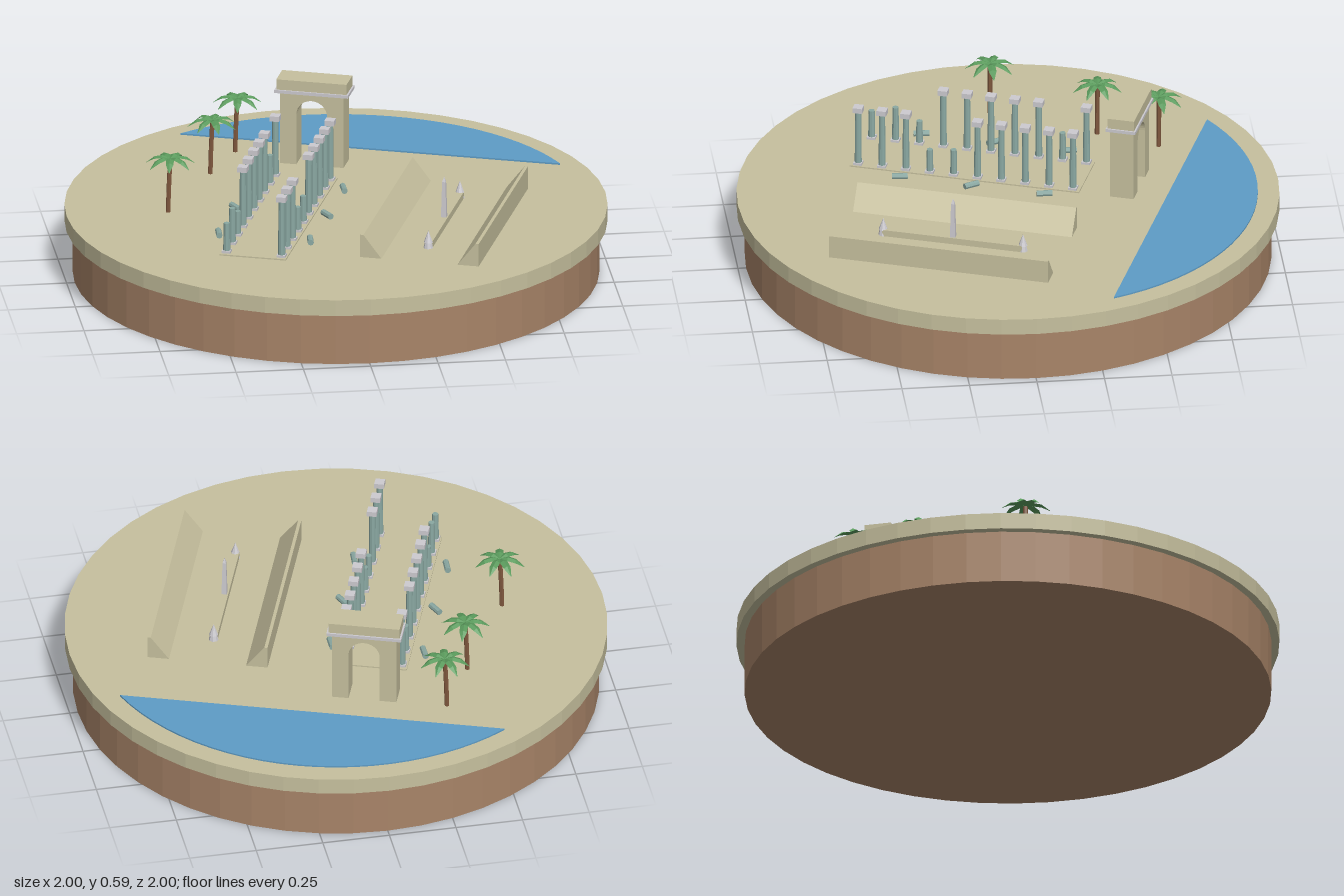
import * as THREE from 'three';

const mat = (name, color, extra = {}) => new THREE.MeshStandardMaterial({ name, color, flatShading: true, ...extra });
const sand = mat('sand', 0xc6c09e);
const earth = mat('earth', 0xa88468);
const water = mat('water', 0x5e9cc6);
const granite = mat('blue grey granite', 0x8aa8a2);
const marble = mat('pale marble', 0xcdcbd0);
const bark = mat('bark', 0x80583e);
const frond = mat('frond green', 0x5a9a5c, { side: THREE.DoubleSide });

const GROUND = 0.262;
const TILT = -Math.PI / 9; // shared orientation of the ruins

function add(parent, name, geometry, material, x = 0, y = 0, z = 0) {
  const mesh = new THREE.Mesh(geometry, material);
  mesh.name = name;
  mesh.position.set(x, y, z);
  parent.add(mesh);
  return mesh;
}

function addGroup(parent, name, x, z, rotation = TILT) {
  const group = new THREE.Group();
  group.name = name;
  group.position.set(x, GROUND, z);
  group.rotation.y = rotation;
  parent.add(group);
  return group;
}

const box = (w, h, d) => new THREE.BoxGeometry(w, h, d);

// Outline in x and y, extruded along z and centred
function prism(shape, depth) {
  return new THREE.ExtrudeGeometry(shape, { depth, bevelEnabled: false, curveSegments: 10 }).translate(0, 0, -depth / 2);
}

// Column with plinth and capital, or a broken stump
function addColumn(parent, x, z, height, whole) {
  const g = new THREE.Group();
  g.name = whole ? 'column' : 'brokenColumn';
  g.position.set(x, 0, z);
  parent.add(g);
  add(g, 'plinth', box(0.032, 0.014, 0.032), marble, 0, 0.007, 0);
  const shaft = height - 0.014 - (whole ? 0.02 : 0);
  add(g, 'shaft', new THREE.CylinderGeometry(0.0115, 0.0135, shaft, 10), granite, 0, 0.014 + shaft / 2, 0);
  if (whole) add(g, 'capital', box(0.036, 0.02, 0.036), marble, 0, height - 0.01, 0);
}

// Drooping leaf with a raised midrib, built from cross-sections
function frondGeometry() {
  const sections = [[0, 0, 0.005], [0.03, 0.01, 0.015], [0.06, 0.003, 0.014], [0.092, -0.024, 0.001]];
  const points = [], faces = [];
  for (const [r, y, w] of sections) points.push(r, y - w * 0.45, -w, r, y, 0, r, y - w * 0.45, w);
  for (let i = 0; i < sections.length - 1; i++) {
    for (let j = 0; j < 2; j++) {
      const a = i * 3 + j, b = a + 3;
      faces.push(a, a + 1, b, a + 1, b + 1, b);
    }
  }
  const geometry = new THREE.BufferGeometry();
  geometry.setAttribute('position', new THREE.Float32BufferAttribute(points, 3));
  geometry.setIndex(faces);
  geometry.computeVertexNormals();
  return geometry;
}

function addPalm(parent, x, z, turn) {
  const palm = addGroup(parent, 'palmTree', x, z, 0);
  const path = new THREE.QuadraticBezierCurve3(
    new THREE.Vector3(-0.008, 0, 0), new THREE.Vector3(-0.006, 0.11, 0), new THREE.Vector3(0, 0.205, 0));
  add(palm, 'trunk', new THREE.TubeGeometry(path, 5, 0.009, 6), bark);
  const crown = new THREE.Group();
  crown.name = 'crown';
  crown.position.y = 0.21;
  palm.add(crown);
  const leaf = frondGeometry();
  for (let i = 0; i < 7; i++) add(crown, 'frond', leaf, frond).rotation.y = turn + (i * Math.PI * 2) / 7;
}

export function createModel() {
  const model = new THREE.Group();
  model.name = 'ruinedCity';

  // Round base
  add(model, 'earthBase', new THREE.CylinderGeometry(0.97, 0.97, 0.2, 48), earth, 0, 0.1, 0);
  add(model, 'groundDisc', new THREE.CylinderGeometry(1, 1, GROUND - 0.2, 48), sand, 0, (GROUND + 0.2) / 2, 0);

  // Sea: circular segment behind a straight shore
  const half = Math.acos(0.578 / 0.92), middle = Math.PI / 2 + TILT;
  const sea = new THREE.Shape();
  for (let i = 0; i <= 24; i++) {
    const a = middle - half + (2 * half * i) / 24;
    const x = 0.92 * Math.cos(a), y = 0.92 * Math.sin(a);
    if (i) sea.lineTo(x, y); else sea.moveTo(x, y);
  }
  const seaGeometry = new THREE.ExtrudeGeometry(sea, { depth: 0.006, bevelEnabled: false }).rotateX(-Math.PI / 2);
  add(model, 'sea', seaGeometry, water, 0, GROUND, 0);

  // Colonnaded street
  const street = addGroup(model, 'colonnade', -0.2275, 0.1075);
  add(street, 'paving', box(0.25, 0.005, 0.87), sand, 0, 0.0025, 0);
  const broken = [{ 1: 0.12, 7: 0.1, 8: 0.145, 9: 0.12 }, { 5: 0.11, 6: 0.1 }];
  broken.forEach((stumps, row) => {
    for (let i = 0; i < 10; i++) {
      addColumn(street, row ? 0.1035 : -0.1035, (i - 4.5) * 0.0905, stumps[i] ?? 0.243, !(i in stumps));
    }
  });

  // Fallen column drums
  const drum = new THREE.CylinderGeometry(0.0115, 0.0115, 0.058, 8).rotateX(Math.PI / 2);
  const drums = [[-0.28, -0.255, 0], [-0.375, 0.01, 0.4], [-0.47, 0.27, -0.05],
    [0.045, -0.13, 0], [-0.05, 0.13, 0.4], [-0.145, 0.385, -0.08]];
  for (const [x, z, turn] of drums) {
    add(model, 'fallenDrum', drum, granite, x, GROUND + 0.011, z).rotation.y = turn;
  }

  // Triumphal arch
  const arch = addGroup(model, 'triumphalArch', -0.022, -0.452);
  const outline = new THREE.Shape();
  outline.moveTo(-0.12, 0);
  outline.lineTo(-0.058, 0);
  outline.lineTo(-0.058, 0.195);
  outline.absarc(0, 0.195, 0.058, Math.PI, 0, true);
  outline.lineTo(0.058, 0);
  outline.lineTo(0.12, 0);
  outline.lineTo(0.12, 0.28);
  outline.lineTo(-0.12, 0.28);
  add(arch, 'archBody', prism(outline, 0.09), sand);
  add(arch, 'cornice', box(0.278, 0.012, 0.112), marble, 0, 0.284, 0);
  add(arch, 'attic', box(0.265, 0.04, 0.1), sand, 0, 0.31, 0);

  // Racecourse: two seating banks facing a central spine
  const course = addGroup(model, 'racecourse', 0.37, 0.243);
  for (const side of [-1, 1]) {
    const bank = new THREE.Shape([[0.04, 0], [0.04, 0.088], [0.028, 0.088], [-0.04, 0]]
      .map(([x, y]) => new THREE.Vector2(side * (0.1835 + x), y)));
    add(course, 'seatingBank', prism(bank, 0.83), sand);
    add(course, 'turningPost', new THREE.CylinderGeometry(0.013, 0.018, 0.022, 8), marble, 0, 0.011, side * 0.265);
    add(course, 'turningPostTip', new THREE.ConeGeometry(0.017, 0.046, 8), marble, 0, 0.045, side * 0.265);
  }
  add(course, 'spine', box(0.03, 0.025, 0.53), sand, 0, 0.0125, 0);
  const square = Math.PI / 4;
  add(course, 'obelisk', new THREE.CylinderGeometry(0.009, 0.014, 0.137, 4), marble, 0, 0.0935, 0).rotation.y = square;
  add(course, 'obeliskTip', new THREE.ConeGeometry(0.009, 0.021, 4), marble, 0, 0.1725, 0).rotation.y = square;

  // Palms
  addPalm(model, -0.29, -0.59, 0.1);
  addPalm(model, -0.41, -0.375, 0.35);
  addPalm(model, -0.615, 0, 0.05);

  return model;
}
